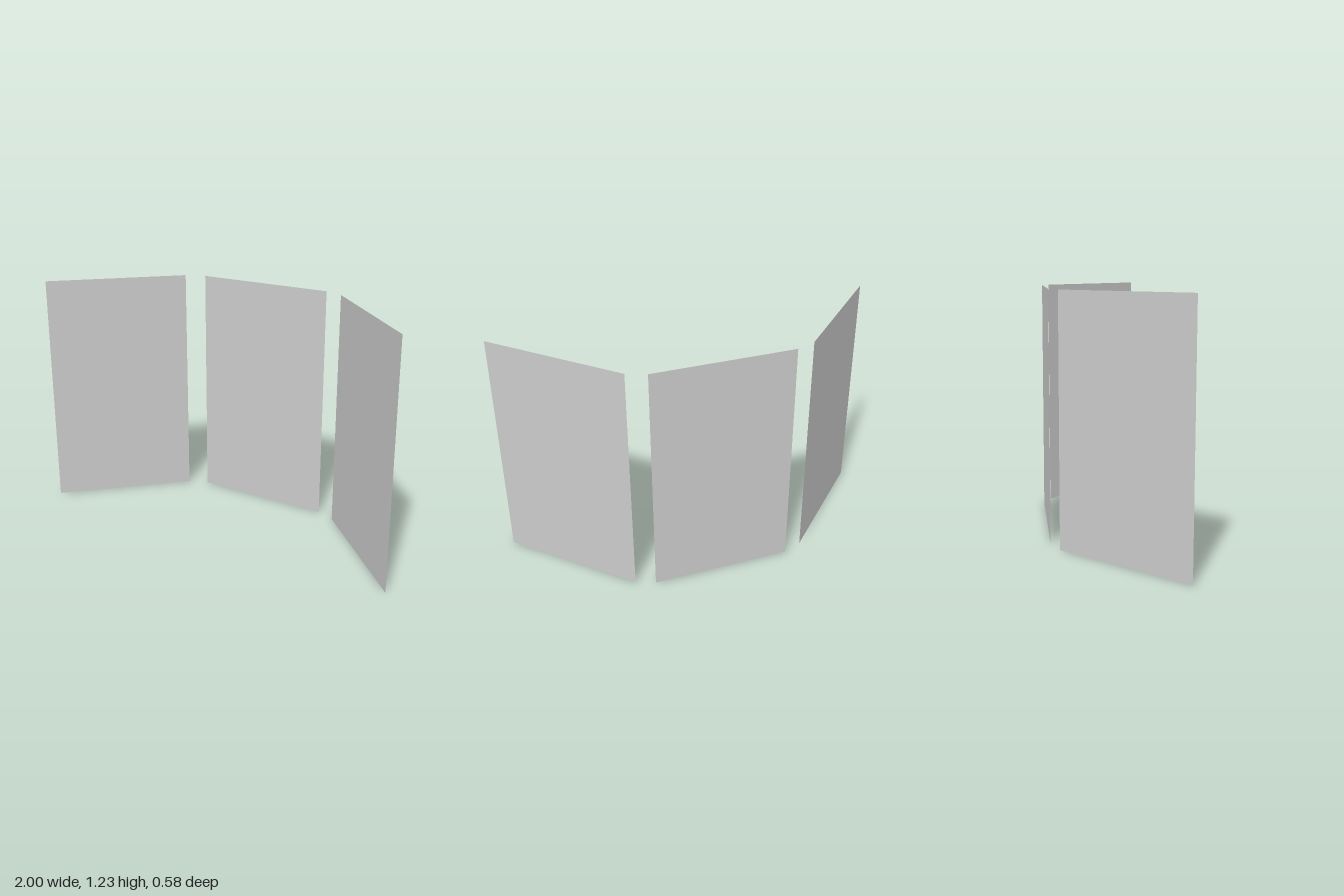
import * as THREE from 'three';

const HEIGHT = 1.225;

export function createModel() {
  const group = new THREE.Group();
  const material = new THREE.MeshStandardMaterial({ color: 0xcccccc, flatShading: true, side: THREE.DoubleSide });

  // Upright thin panel standing between two floor points, facing the front
  function addPanel(name, x0, z0, x1, z1) {
    const panel = new THREE.Mesh(new THREE.PlaneGeometry(Math.hypot(x1 - x0, z1 - z0), HEIGHT), material);
    panel.name = name;
    panel.position.set((x0 + x1) / 2, HEIGHT / 2, (z0 + z1) / 2);
    panel.rotation.y = -Math.atan2(z1 - z0, x1 - x0);
    group.add(panel);
  }

  // Back panel flanked by two wings folded forward
  addPanel('centrePanel', -0.37, -0.288, 0.362, -0.288);
  addPanel('rightWing', -1, 0.281, -0.472, -0.249);
  addPanel('leftWing', 0.46, -0.249, 1, 0.29);
  return group;
}
